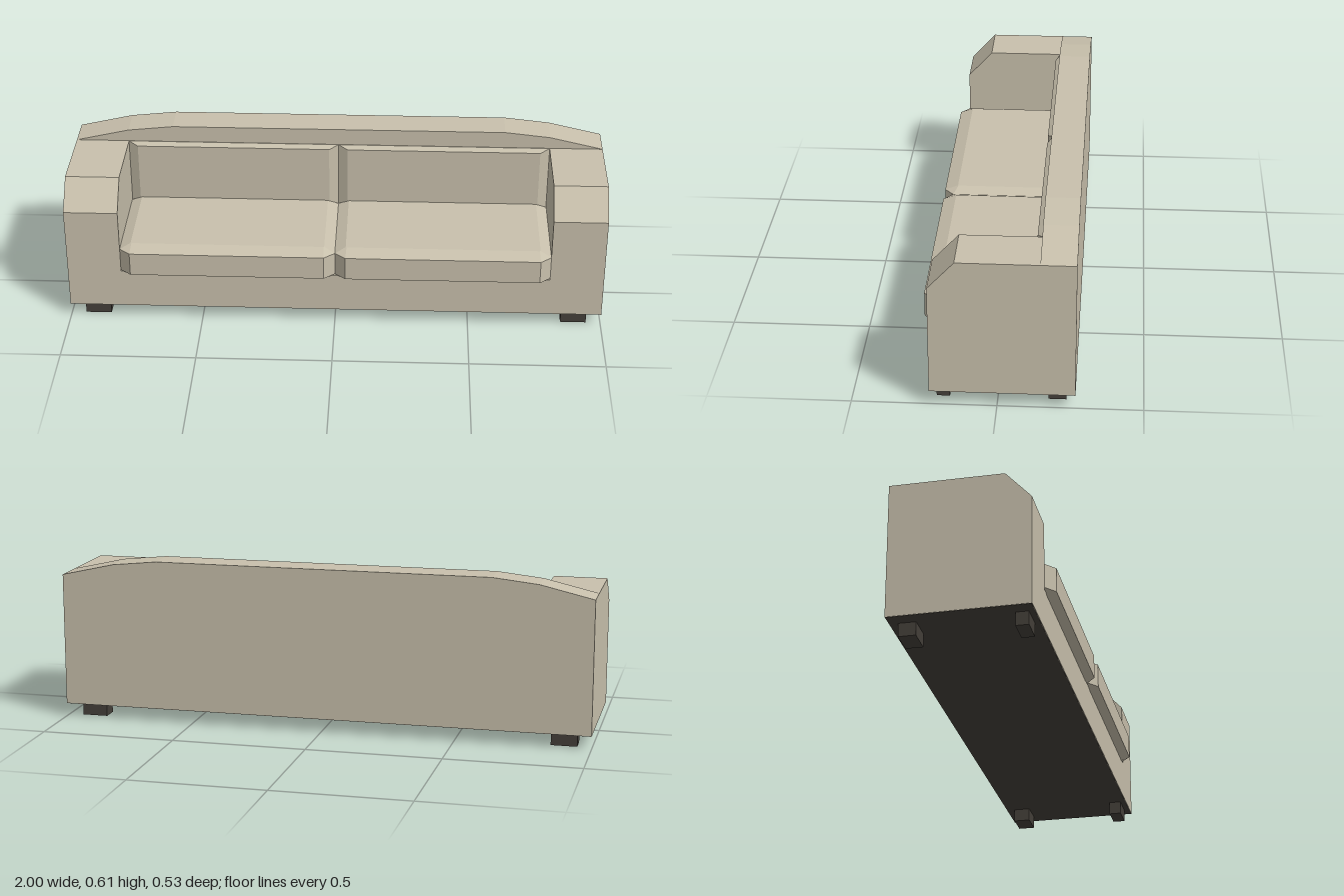
import * as THREE from 'three';

const fabric = new THREE.MeshStandardMaterial({ color: 0xc8c0ac, flatShading: true });
const dark = new THREE.MeshStandardMaterial({ color: 0x45403a, flatShading: true });

const BACK = -0.267, REST = -0.145, FRONT = 0.233, FLOOR = 0.05, SEAT = 0.2;

function add(group, name, geometry, material = fabric) {
  const mesh = new THREE.Mesh(geometry, material);
  mesh.name = name;
  group.add(mesh);
  return mesh;
}

// Box given by its lower and upper limits
function box(x0, x1, y0, y1, z0, z1) {
  return new THREE.BoxGeometry(x1 - x0, y1 - y0, z1 - z0)
    .translate((x0 + x1) / 2, (y0 + y1) / 2, (z0 + z1) / 2);
}

function extrude(points, depth) {
  const shape = new THREE.Shape(points.map(([x, y]) => new THREE.Vector2(x, y)));
  return new THREE.ExtrudeGeometry(shape, { depth, bevelEnabled: false });
}

// Closed solid through a stack of matching convex cross-sections
function loft(rings) {
  const n = rings[0].length, index = [];
  for (let r = 0; r < rings.length - 1; r++) {
    for (let i = 0; i < n; i++) {
      const a = r * n + i, b = r * n + (i + 1) % n;
      index.push(a, b, b + n, a, b + n, a + n);
    }
  }
  const top = (rings.length - 1) * n;
  for (let i = 1; i < n - 1; i++) {
    index.push(top, top + i, top + i + 1, 0, i + 1, i);
  }
  const geometry = new THREE.BufferGeometry();
  geometry.setAttribute('position', new THREE.Float32BufferAttribute(rings.flat(2), 3));
  geometry.setIndex(index);
  const flat = geometry.toNonIndexed();
  flat.computeVertexNormals();
  return flat;
}

// Seat cushion: chamfered front corners, crowned top and underside
function seatCushion() {
  const w = 0.4, c = 0.04;
  const wide = y => [
    [-w, y, 0.233], [-w + c, y, 0.267], [w - c, y, 0.267], [w, y, 0.233],
    [w, y, REST + 0.01], [w - c, y, REST], [-w + c, y, REST], [-w, y, REST + 0.01],
  ];
  const inset = y => [
    [-w + c, y, 0.216], [-w + c + 0.003, y, 0.218], [w - c - 0.003, y, 0.218], [w - c, y, 0.216],
    [w - c, y, -0.124], [w - c - 0.003, y, -0.126], [-w + c + 0.003, y, -0.126], [-w + c, y, -0.124],
  ];
  return loft([inset(0.19), wide(0.207), wide(0.297), inset(0.315)]);
}

// Back cushion: shallow pad with bevelled edges on its front
function backCushion() {
  const rect = (dx, dy, z) => [
    [-0.4 + dx, 0.25 + dy, z], [0.4 - dx, 0.25 + dy, z],
    [0.4 - dx, 0.55 - dy, z], [-0.4 + dx, 0.55 - dy, z],
  ];
  return loft([rect(0, 0, REST - 0.01), rect(0, 0, REST + 0.002), rect(0.035, 0.012, REST + 0.02)]);
}

export function createModel() {
  const sofa = new THREE.Group();
  sofa.name = 'sofa';

  // Base and dark lining below it
  add(sofa, 'base', box(-0.8, 0.8, FLOOR, SEAT, REST, FRONT));
  add(sofa, 'underside', box(-0.998, 0.998, FLOOR - 0.001, FLOOR + 0.002, BACK + 0.002, FRONT - 0.002), dark);

  // Backrest with a gently arched top
  add(sofa, 'backrest', extrude([
    [-1, FLOOR], [1, FLOOR], [1, 0.55], [0.8, 0.596], [0.63, 0.614],
    [-0.63, 0.614], [-0.8, 0.596], [-1, 0.55],
  ], REST - BACK).translate(0, 0, BACK));

  for (const side of [1, -1]) {
    const label = side > 0 ? 'left' : 'right';

    // Armrest: side profile with a sloping front edge, drawn as (-z, y)
    const arm = extrude([
      [-FRONT, FLOOR], [-REST, FLOOR], [-REST, 0.55], [-0.14, 0.55], [-FRONT, 0.45],
    ].filter(([u], i) => i !== 3 || u !== -REST), 0.2);
    arm.rotateY(Math.PI / 2).translate(side > 0 ? 0.8 : -1, 0, 0);
    add(sofa, label + 'Armrest', arm);

    // Cushions
    add(sofa, label + 'SeatCushion', seatCushion()).position.x = side * 0.4;
    add(sofa, label + 'BackCushion', backCushion()).position.x = side * 0.4;

    // Feet
    add(sofa, label + 'FrontFoot', box(-0.048, 0.048, 0, FLOOR, 0.165, 0.211), dark).position.x = side * 0.898;
    add(sofa, label + 'BackFoot', box(-0.048, 0.048, 0, FLOOR, -0.235, -0.173), dark).position.x = side * 0.898;
  }
  return sofa;
}
